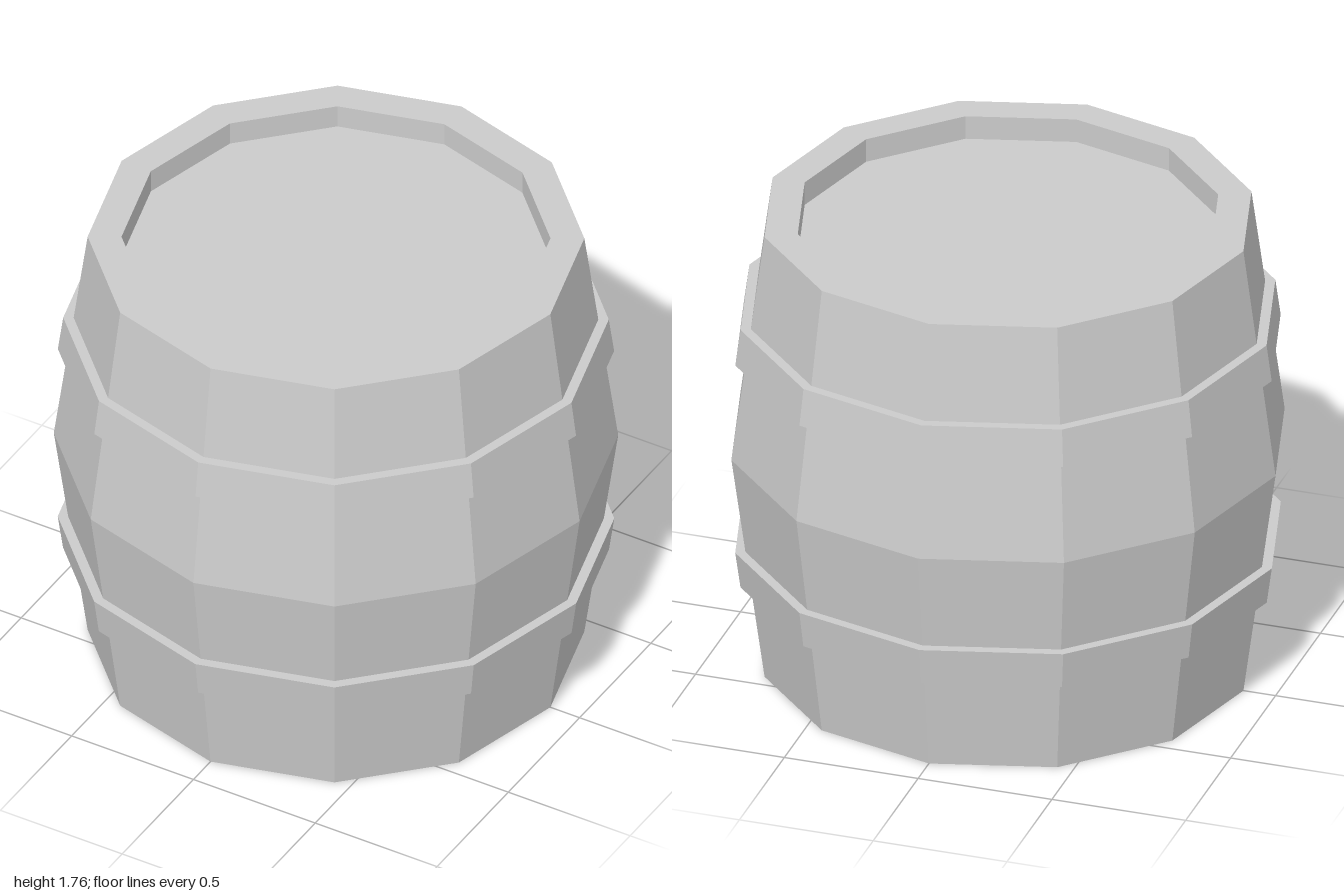
import * as THREE from 'three';

const SIDES = 12;
const HEIGHT = 1.76;
const MID = HEIGHT / 2;

// Radius of the bulging staves at height y
const staveRadius = (y) => 1 - 0.12 * Math.abs(y - MID) / MID;

export function createModel() {
  const group = new THREE.Group();
  group.name = 'barrel';
  const material = new THREE.MeshStandardMaterial({ color: 0xcccccc, flatShading: true });

  // Faceted solid of revolution from [radius, y] pairs, listed bottom to top
  const addLathe = (name, profile) => {
    const points = profile.map(([r, y]) => new THREE.Vector2(r, y));
    const mesh = new THREE.Mesh(new THREE.LatheGeometry(points, SIDES), material);
    mesh.name = name;
    group.add(mesh);
  };

  // Staves with flat bottom, rim and inner wall
  addLathe('staves', [
    [0, 0], [staveRadius(0), 0], [1, MID], [staveRadius(HEIGHT), HEIGHT],
    [0.76, HEIGHT], [0.76, HEIGHT - 0.09],
  ]);

  // Recessed lid
  addLathe('lid', [[0.76, HEIGHT - 0.09], [0, HEIGHT - 0.09]]);

  // Two hoops that follow the slope of the staves
  const addHoop = (name, y0, y1) => addLathe(name, [
    [staveRadius(y0) - 0.01, y0], [staveRadius(y0) + 0.037, y0],
    [staveRadius(y1) + 0.037, y1], [staveRadius(y1) - 0.01, y1],
  ]);
  addHoop('lowerHoop', 0.367, 0.507);
  addHoop('upperHoop', 1.257, 1.397);

  return group;
}
